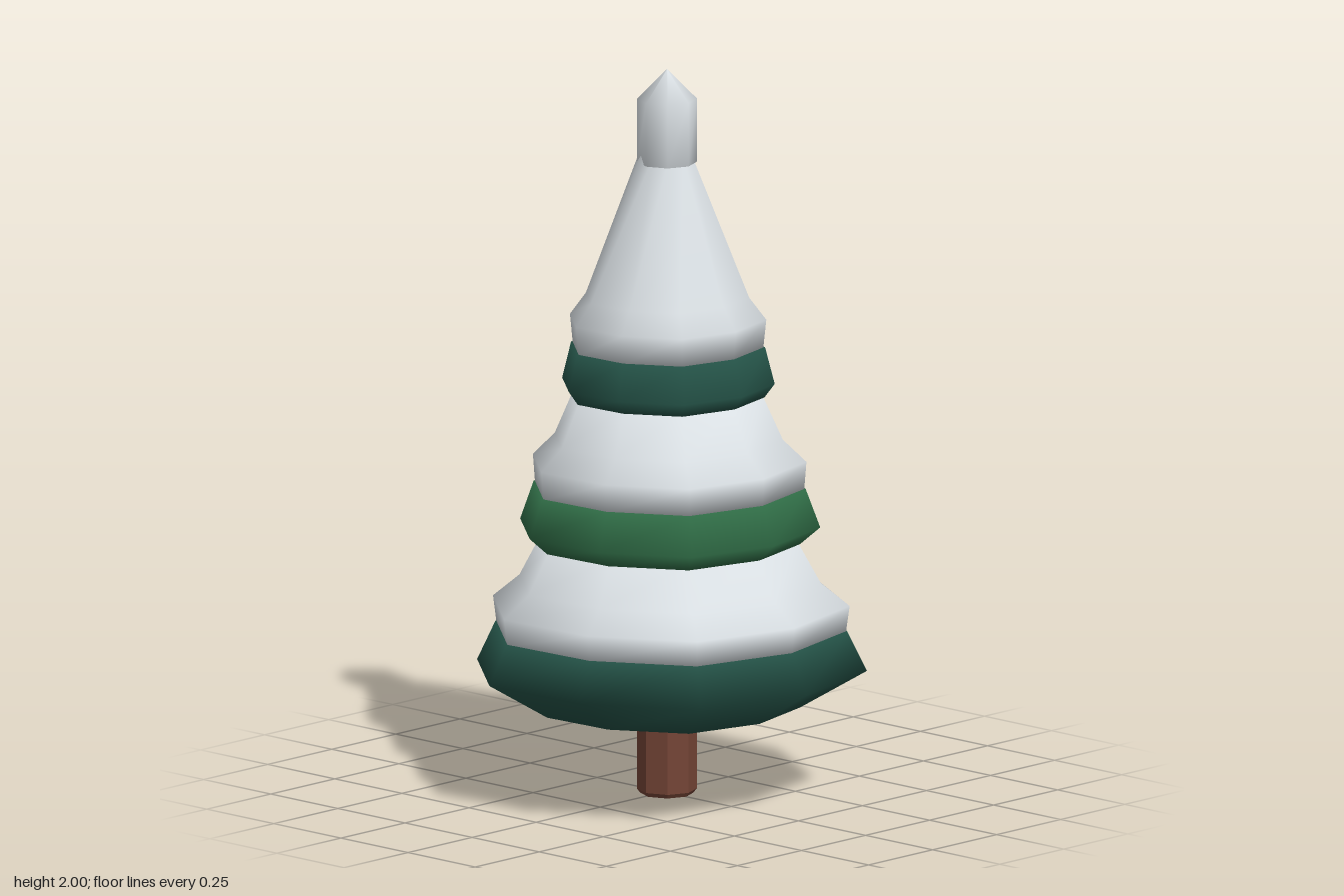
import * as THREE from 'three';

const material = (name, color) => {
  const m = new THREE.MeshStandardMaterial({ color });
  m.name = name;
  return m;
};

// Slightly uneven decagon shared by every tier
const UNEVEN = [1, 1.04, 0.98, 1.01, 0.96, 1, 0.97, 1.025, 0.98, 1.04];
const OCTAGON = new Array(8).fill(1);

// Smooth solid from [radius, y] pairs listed upwards, closed at both ends
function turned(profile, factors) {
  const n = factors.length;
  const pos = [];
  const index = [];
  const rings = [[0, profile[0][1]], ...profile, [0, profile[profile.length - 1][1]]];
  rings.forEach(([r, y], i) => {
    factors.forEach((f, j) => {
      const a = (j / n) * Math.PI * 2;
      pos.push(r * f * Math.cos(a), y, r * f * Math.sin(a));
      if (i === rings.length - 1) return;
      const p = i * n + j;
      const q = i * n + ((j + 1) % n);
      if (i > 0) index.push(p, p + n, q);
      if (i < rings.length - 2) index.push(q, p + n, q + n);
    });
  });
  const g = new THREE.BufferGeometry();
  g.setAttribute('position', new THREE.Float32BufferAttribute(pos, 3));
  g.setIndex(index);
  g.computeVertexNormals();
  return g;
}

export function createModel() {
  const tree = new THREE.Group();
  tree.name = 'snowyTree';
  const snow = material('snow', 0xd9dfe3);
  const darkGreen = material('darkGreen', 0x235045);
  const green = material('green', 0x2f6b45);
  const bark = material('bark', 0x744436);

  const add = (name, geometry, mat) => {
    const mesh = new THREE.Mesh(geometry, mat);
    mesh.name = name;
    tree.add(mesh);
    return mesh;
  };

  // Trunk with a small bevel at the foot
  const trunk = turned([[0.072, 0], [0.081, 0.012], [0.081, 0.26]], OCTAGON).toNonIndexed();
  trunk.computeVertexNormals();
  add('trunk', trunk, bark).position.x = 0.01;

  // Foliage bands, each topped by a layer of snow
  const tiers = [
    ['lower', darkGreen, [[0.355, 0.245], [0.53, 0.352], [0.478, 0.46]],
      [[0.475, 0.455], [0.485, 0.53], [0.41, 0.59], [0.345, 0.71]]],
    ['middle', green, [[0.355, 0.697], [0.408, 0.745], [0.37, 0.85]],
      [[0.366, 0.847], [0.372, 0.925], [0.31, 0.985], [0.255, 1.11]]],
    ['upper', darkGreen, [[0.262, 1.1], [0.289, 1.138], [0.264, 1.238]],
      [[0.259, 1.235], [0.267, 1.315], [0.222, 1.375], [0.07, 1.77]]],
  ];
  for (const [name, mat, band, cap] of tiers) {
    add(name + 'Foliage', turned(band, UNEVEN), mat);
    add(name + 'Snow', turned(cap, UNEVEN), snow);
  }

  // Snowy tip
  add('tip', turned([[0.081, 1.745], [0.081, 1.92], [0.002, 2]], OCTAGON), snow).position.x = 0.01;

  return tree;
}
